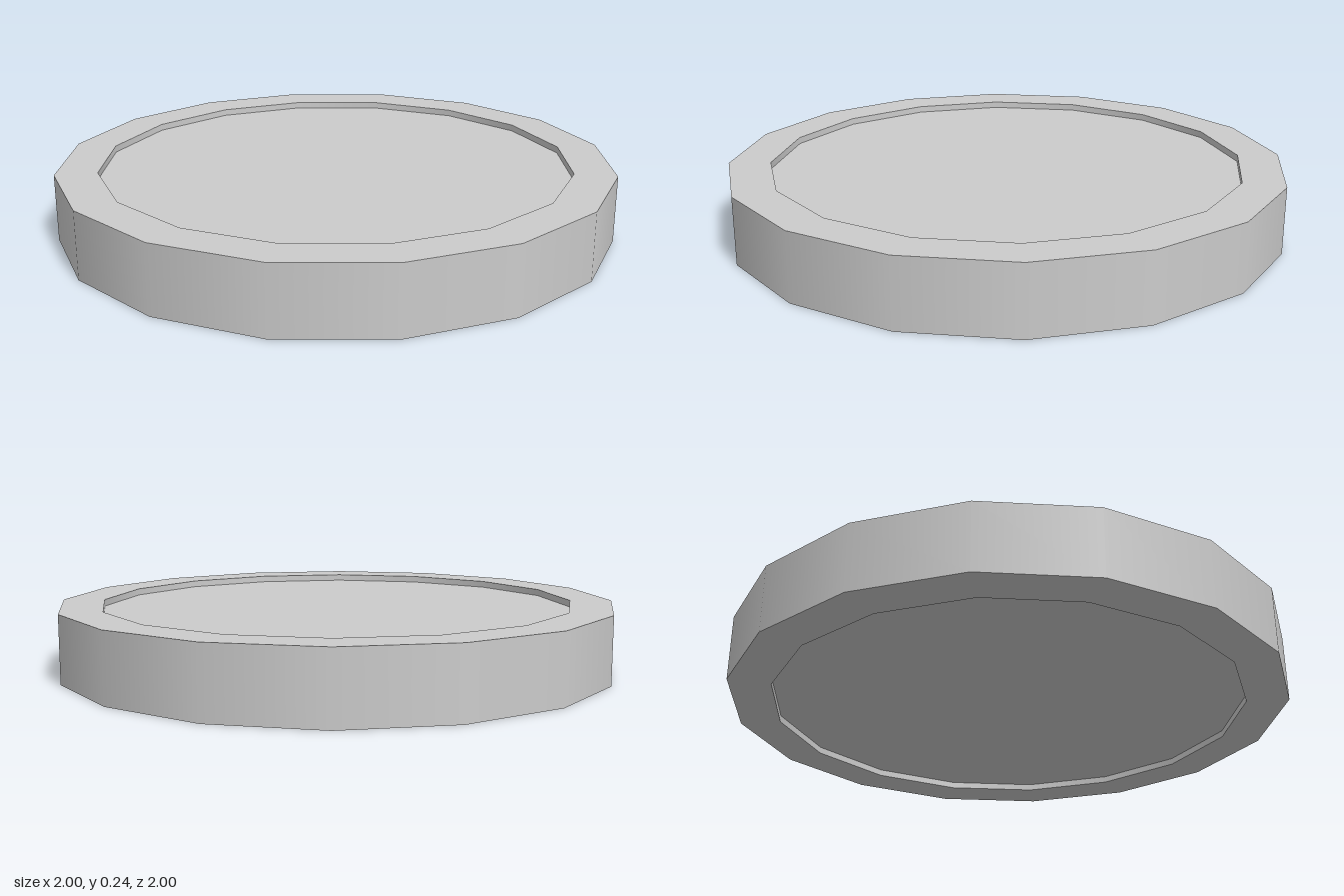
import * as THREE from 'three';
import { mergeGeometries } from 'three/addons/utils/BufferGeometryUtils.js';

const SIDES = 16;
const HEIGHT = 0.24;
const OUTER = 1;
const INNER = 0.85;
const RECESS = 0.024;

// Sweeps each profile edge separately: smooth around the axis, sharp at the rims
function sharpLathe(profile) {
  const points = profile.map(([r, y]) => new THREE.Vector2(r, y));
  const bands = points.slice(1).map((p, i) => new THREE.LatheGeometry([points[i], p], SIDES));
  return mergeGeometries(bands);
}

export function createModel() {
  const group = new THREE.Group();
  const material = new THREE.MeshStandardMaterial({ color: 0xcccccc });

  const add = (name, profile) => {
    const mesh = new THREE.Mesh(sharpLathe(profile), material);
    mesh.name = name;
    group.add(mesh);
  };

  // Outer ring with a rectangular section
  add('rim', [[OUTER, 0], [OUTER, HEIGHT], [INNER, HEIGHT], [INNER, 0], [OUTER, 0]]);

  // Plate filling the ring, set back from both faces
  add('plate', [[0, RECESS], [INNER, RECESS], [INNER, HEIGHT - RECESS], [0, HEIGHT - RECESS]]);

  return group;
}
